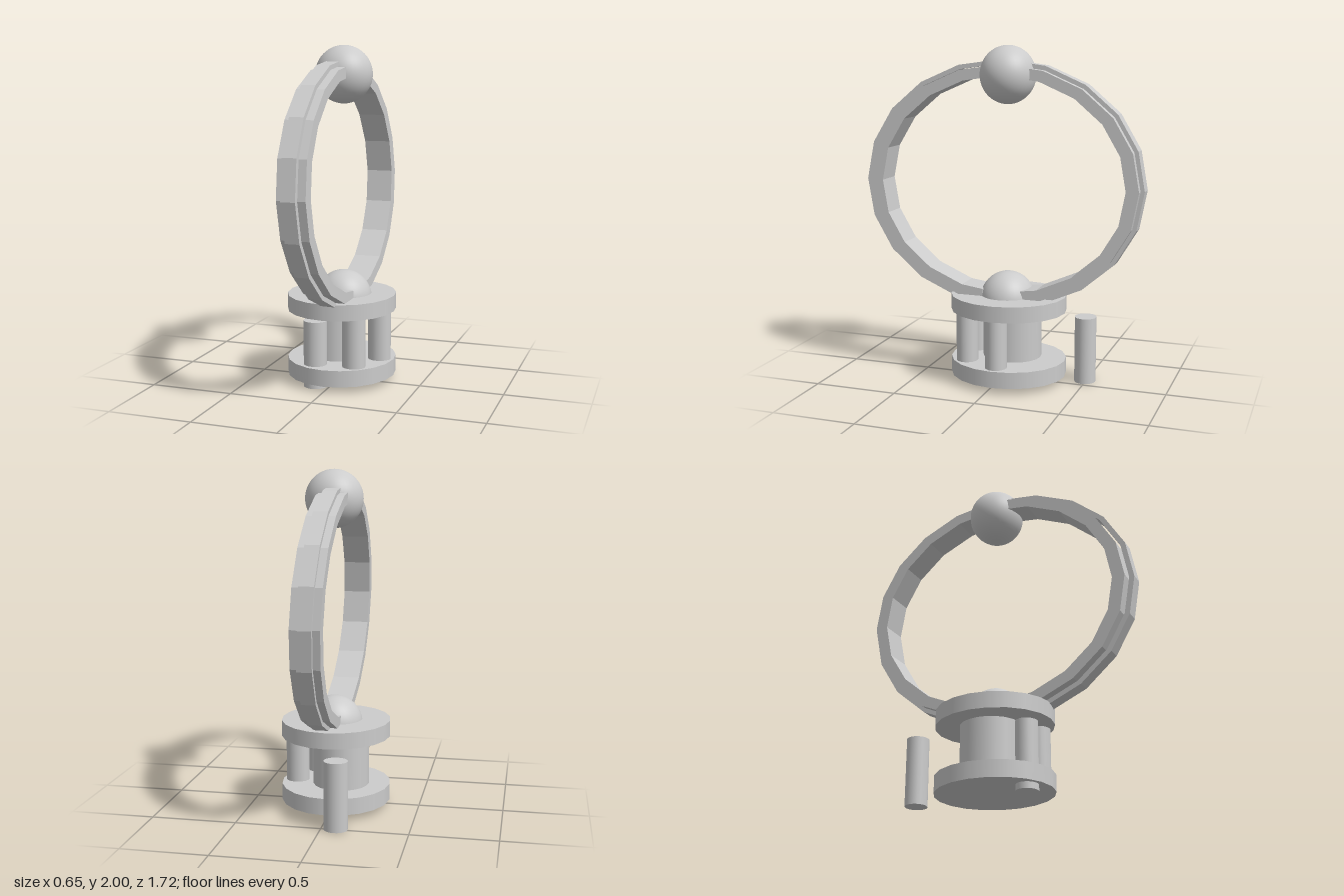
import * as THREE from 'three';

const material = new THREE.MeshStandardMaterial({ color: 0xcccccc });

function add(parent, name, geometry, x = 0, y = 0, z = 0) {
  const mesh = new THREE.Mesh(geometry, material);
  mesh.name = name;
  mesh.position.set(x, y, z);
  parent.add(mesh);
  return mesh;
}

// Upright cylinder between two heights, with an oval footprint
function post(parent, name, x, z, bottom, top, rx, rz, sides = 20) {
  const mesh = add(parent, name, new THREE.CylinderGeometry(rx, rx, top - bottom, sides), x, (bottom + top) / 2, z);
  mesh.scale.z = rz / rx;
}

const RING_Y = 1.19, SQUASH = 0.849, STEP = Math.PI / 10;

// Edge of a twenty-sided half hoop in the z-y plane, cut off at a given z
function halfEdge(radius, side, centreZ, cut) {
  const points = [];
  const at = (i) => new THREE.Vector2(
    side * radius * Math.cos(i * STEP) + centreZ,
    RING_Y + SQUASH * radius * Math.sin(i * STEP));
  for (let i = -4; i <= 4; i++) points.push(at(i));
  for (const end of [-1, 1]) {
    const a = at(4 * end), b = at(5 * end);
    const tip = a.clone().lerp(b, (cut - a.x) / (b.x - a.x));
    if (end < 0) points.unshift(tip);
    else points.push(tip);
  }
  return points;
}

// Half hoop of rectangular section, leaning slightly sideways
function halfHoop(inner, outer, width, side, centreZ, cut) {
  const outline = [...halfEdge(outer, side, centreZ, cut), ...halfEdge(inner, side, centreZ, cut).reverse()];
  const geometry = new THREE.ExtrudeGeometry(new THREE.Shape(outline), { depth: width, bevelEnabled: false });
  geometry.translate(0, 0, -width / 2).rotateY(-Math.PI / 2);
  const p = geometry.attributes.position;
  for (let i = 0; i < p.count; i++) p.setX(i, p.getX(i) + 0.012 - 0.03 * (p.getY(i) - RING_Y));
  geometry.computeVertexNormals();
  return geometry;
}

export function createModel() {
  const model = new THREE.Group();
  model.name = 'ringOnPedestal';

  // Pedestal: two discs around an off-centre core
  const base = new THREE.Group();
  base.name = 'pedestal';
  model.add(base);
  post(base, 'lowerDisc', 0, -0.036, 0.037, 0.135, 0.325, 0.349);
  post(base, 'upperDisc', 0, -0.036, 0.43, 0.525, 0.325, 0.349);
  post(base, 'core', -0.033, -0.048, 0.1, 0.46, 0.168, 0.177);

  // Small pillars: two between the discs, two reaching the ground
  const pillars = [
    [0.145, 0.177, 0.1, 0.46],
    [0.237, -0.037, 0.1, 0.46],
    [-0.085, 0.203, 0, 0.4],
    [-0.085, -0.492, 0, 0.4],
  ];
  for (const [x, z, bottom, top] of pillars) post(base, 'pillar', x, z, bottom, top, 0.069, 0.064);

  // Balls at the top and bottom of the ring
  for (const [name, y] of [['topBall', 1.83], ['bottomBall', 0.495]]) {
    add(model, name, new THREE.SphereGeometry(0.17, 40, 24), 0.012, y, -0.033).scale.z = 0.965;
  }

  // Ring in two halves, each a wide band with a narrow raised rib
  const ring = new THREE.Group();
  ring.name = 'ring';
  model.add(ring);
  for (const [side, cut] of [[1, 0.09], [-1, -0.145]]) {
    add(ring, 'band', halfHoop(0.749, 0.825, 0.166, side, -0.009, cut));
    add(ring, 'rib', halfHoop(0.828, 0.859, 0.083, side, 0.001, cut));
  }
  return model;
}
